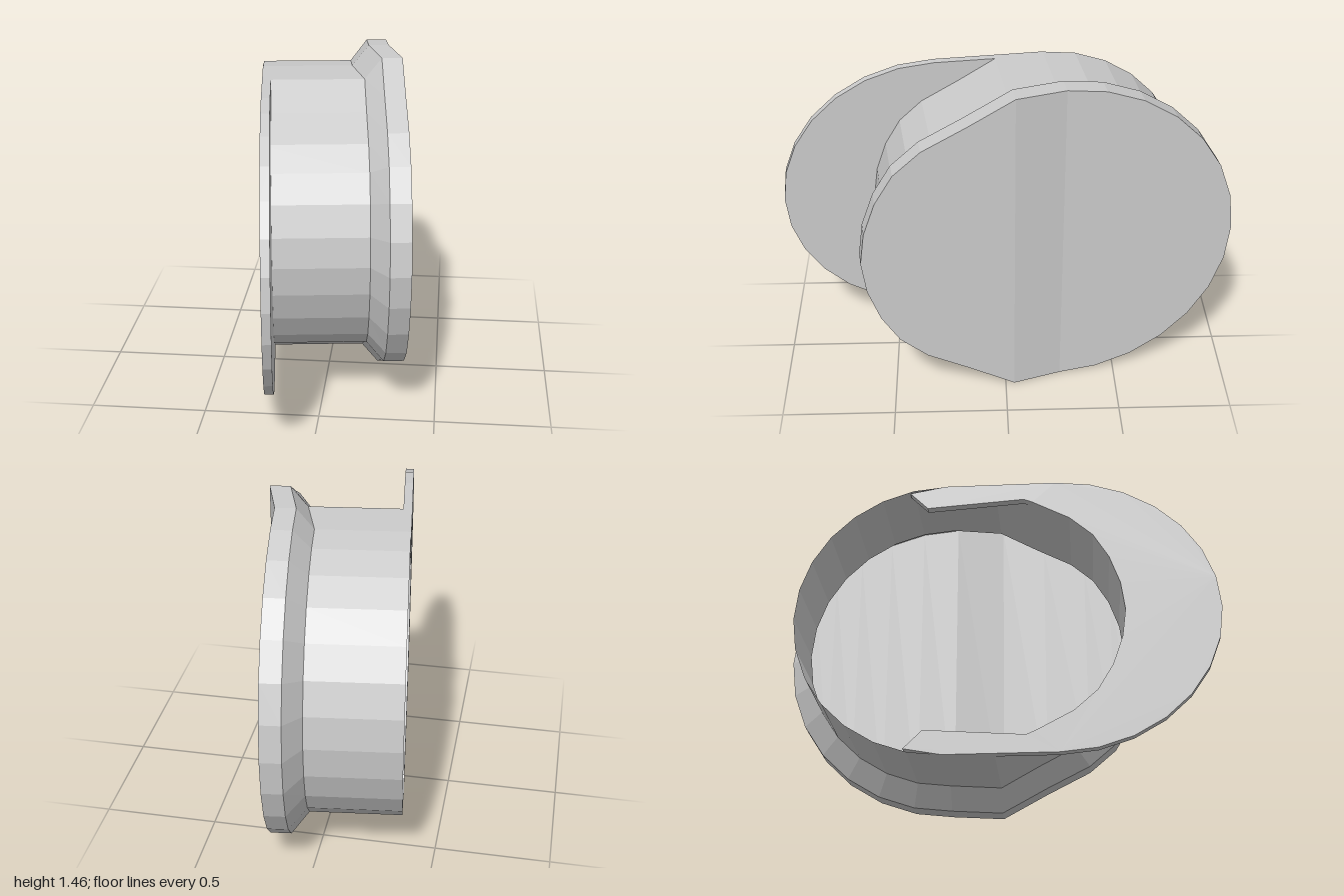
import * as THREE from 'three';

const material = new THREE.MeshStandardMaterial({ color: 0xcccccc, flatShading: true, side: THREE.DoubleSide });
const BACK = -0.219; // centre of the back half circle
// Front half of the outline, as fractions of depth and height
const FRONT = [[0, 1], [0.3, 0.85], [0.59, 0.715], [0.77, 0.575], [0.89, 0.4], [0.97, 0.2], [1, 0]];

// Upper outline from back to front as [z, y]; the front half is shifted along x by 0.044 * step
function section(x, height, back, front, step) {
  const points = [];
  for (let i = 0; i <= 7; i++) {
    const a = (i / 7) * Math.PI / 2;
    points.push(new THREE.Vector3(x, height * Math.sin(a), BACK - back * Math.cos(a)));
  }
  for (const [z, y] of FRONT) points.push(new THREE.Vector3(x + 0.044 * step, y * height, z * front));
  return points;
}

const mirror = (p) => new THREE.Vector3(p.x, -p.y, p.z);
const closed = (top) => [...top, ...top.slice(1, -1).reverse().map(mirror)];

function mesh(name, geometry) {
  const m = new THREE.Mesh(geometry, material);
  m.name = name;
  return m;
}

function fromQuads(name, quads) {
  const points = quads.flatMap(([a, b, c, d]) => [a, b, c, a, c, d]);
  const geometry = new THREE.BufferGeometry().setFromPoints(points);
  geometry.computeVertexNormals();
  return mesh(name, geometry);
}

// Wall between two sections
function wall(name, from, to) {
  const a = closed(from), b = closed(to), n = a.length;
  return fromQuads(name, a.map((p, i) => [p, a[(i + 1) % n], b[(i + 1) % n], b[i]]));
}

export function createModel() {
  const group = new THREE.Group();
  group.name = 'steppedDrum';

  // Open drum, flared shoulder and rim
  const mouth = section(-0.288, 0.64, 0.655, 0.56, 0);
  const neck = section(0.108, 0.64, 0.655, 0.56, 1);
  const shoulder = section(0.181, 0.732, 0.755, 0.662, 1);
  const edge = section(0.27, 0.732, 0.755, 0.662, 1);
  group.add(wall('drum', mouth, neck), wall('shoulder', neck, shoulder), wall('rim', shoulder, edge));

  // Closed end with a shallow step across it
  const strips = [];
  for (let i = 0; i < edge.length - 1; i++) {
    strips.push([edge[i], edge[i + 1], mirror(edge[i + 1]), mirror(edge[i])]);
  }
  group.add(fromQuads('endCap', strips));

  // Thin flange around the front half of the mouth
  const outer = [[-0.38, 0.61], [BACK, 0.64]];
  for (let i = 0; i <= 7; i++) {
    const a = (i / 7) * Math.PI / 2;
    outer.push([0.27 + 0.7 * Math.sin(a), 0.64 * Math.cos(a)]);
  }
  const inner = [[-0.3, 0.53], [0.13, 0.56], ...FRONT.slice(1).map(([z, y]) => [z * 0.56, y * 0.64])];
  const flip = (list) => list.slice(0, -1).reverse().map(([z, y]) => [z, -y]);
  const loop = [...outer, ...flip(outer), ...[...inner, ...flip(inner)].reverse()];
  const shape = new THREE.Shape(loop.map(([z, y]) => new THREE.Vector2(z, y)));
  const flange = new THREE.ExtrudeGeometry(shape, { depth: 0.038, bevelEnabled: false });
  flange.rotateY(-Math.PI / 2).translate(-0.252, 0, 0);
  group.add(mesh('flange', flange));

  group.rotation.y = THREE.MathUtils.degToRad(7);
  group.position.y = 0.732;
  const model = new THREE.Group();
  model.add(group);
  return model;
}
